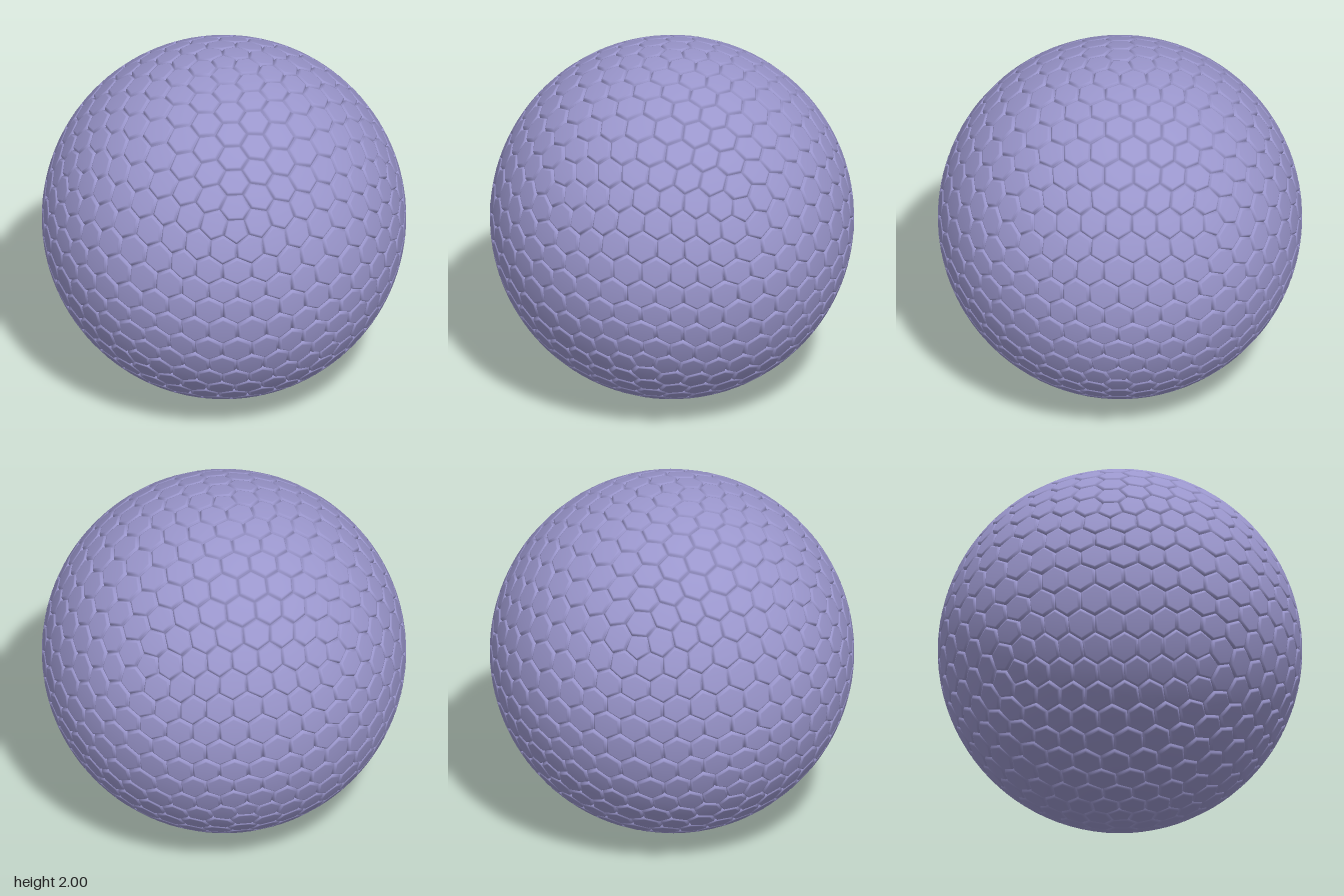
import * as THREE from 'three';

// Upright icosahedron: two poles and two staggered rings of five.
function icosahedron() {
  const points = [new THREE.Vector3(0, 1, 0), new THREE.Vector3(0, -1, 0)];
  const h = 1 / Math.sqrt(5), r = 2 / Math.sqrt(5);
  for (let k = 0; k < 5; k++) {
    const a = k * Math.PI * 0.4, b = a + Math.PI * 0.2;
    points.push(new THREE.Vector3(r * Math.cos(a), h, r * Math.sin(a)));
    points.push(new THREE.Vector3(r * Math.cos(b), -h, r * Math.sin(b)));
  }
  const faces = [];
  for (let k = 0; k < 5; k++) {
    const u = 2 + 2 * k, l = u + 1;
    const u2 = 2 + 2 * ((k + 1) % 5), l2 = u2 + 1;
    faces.push([0, u2, u], [u, u2, l], [l, u2, l2], [1, l, l2]);
  }
  return { points, faces };
}

// Split every triangle in four and push the new points onto the unit sphere.
function subdivide({ points, faces }) {
  const mids = new Map();
  const mid = (a, b) => {
    const key = Math.min(a, b) + '_' + Math.max(a, b);
    if (!mids.has(key)) {
      mids.set(key, points.length);
      points.push(points[a].clone().add(points[b]).normalize());
    }
    return mids.get(key);
  };
  const out = [];
  for (const [a, b, c] of faces) {
    const ab = mid(a, b), bc = mid(b, c), ca = mid(c, a);
    out.push([a, ab, ca], [b, bc, ab], [c, ca, bc], [ab, bc, ca]);
  }
  return { points, faces: out };
}

// Corners of the cell around each point, sorted counter-clockwise from outside.
function dualCells({ points, faces }) {
  const cells = points.map(() => []);
  for (const f of faces) {
    const centre = new THREE.Vector3();
    f.forEach((i) => centre.add(points[i]));
    centre.normalize();
    f.forEach((i) => cells[i].push(centre));
  }
  cells.forEach((corners, i) => {
    const n = points[i];
    const u = corners[0].clone().addScaledVector(n, -corners[0].dot(n)).normalize();
    const v = n.clone().cross(u);
    corners.sort((p, q) => Math.atan2(p.dot(v), p.dot(u)) - Math.atan2(q.dot(v), q.dot(u)));
  });
  return cells;
}

// Panel cross-section from the groove inward: [share of cell size, radius].
const SECTION = [[1, 0.983], [0.93, 0.992], [0.87, 0.999], [0.78, 1.001]];

function panelGeometry(cells) {
  const pos = [], index = [];
  for (const corners of cells) {
    const n = corners.length, start = pos.length / 3;
    const centre = new THREE.Vector3();
    corners.forEach((c) => centre.addScaledVector(c, 1 / n));
    for (const [share, radius] of SECTION) {
      for (const c of corners) {
        const p = centre.clone().lerp(c, share).multiplyScalar(radius);
        pos.push(p.x, p.y, p.z);
      }
    }
    const top = centre.clone().multiplyScalar(1.002);
    pos.push(top.x, top.y, top.z);
    const hub = start + SECTION.length * n;
    for (let k = 0; k < n; k++) {
      const k2 = (k + 1) % n;
      for (let r = 0; r < SECTION.length - 1; r++) {
        const a = start + r * n + k, b = start + r * n + k2;
        index.push(a, b, b + n, a, b + n, a + n);
      }
      const last = start + (SECTION.length - 1) * n;
      index.push(last + k, last + k2, hub);
    }
  }
  const g = new THREE.BufferGeometry();
  g.setAttribute('position', new THREE.Float32BufferAttribute(pos, 3));
  g.setIndex(index);
  g.computeVertexNormals();
  return g;
}

export function createModel() {
  const group = new THREE.Group();
  group.name = 'hexPanelBall';
  let sphere = icosahedron();
  for (let i = 0; i < 3; i++) sphere = subdivide(sphere);
  const cells = dualCells(sphere);
  const material = new THREE.MeshStandardMaterial({ color: 0x9a96cc });

  // Six-sided panels over the ball, with twelve five-sided ones among them
  for (const [name, sides] of [['hexagonPanels', 6], ['pentagonPanels', 5]]) {
    const mesh = new THREE.Mesh(panelGeometry(cells.filter((c) => c.length === sides)), material);
    mesh.name = name;
    mesh.position.y = 1;
    group.add(mesh);
  }
  return group;
}
